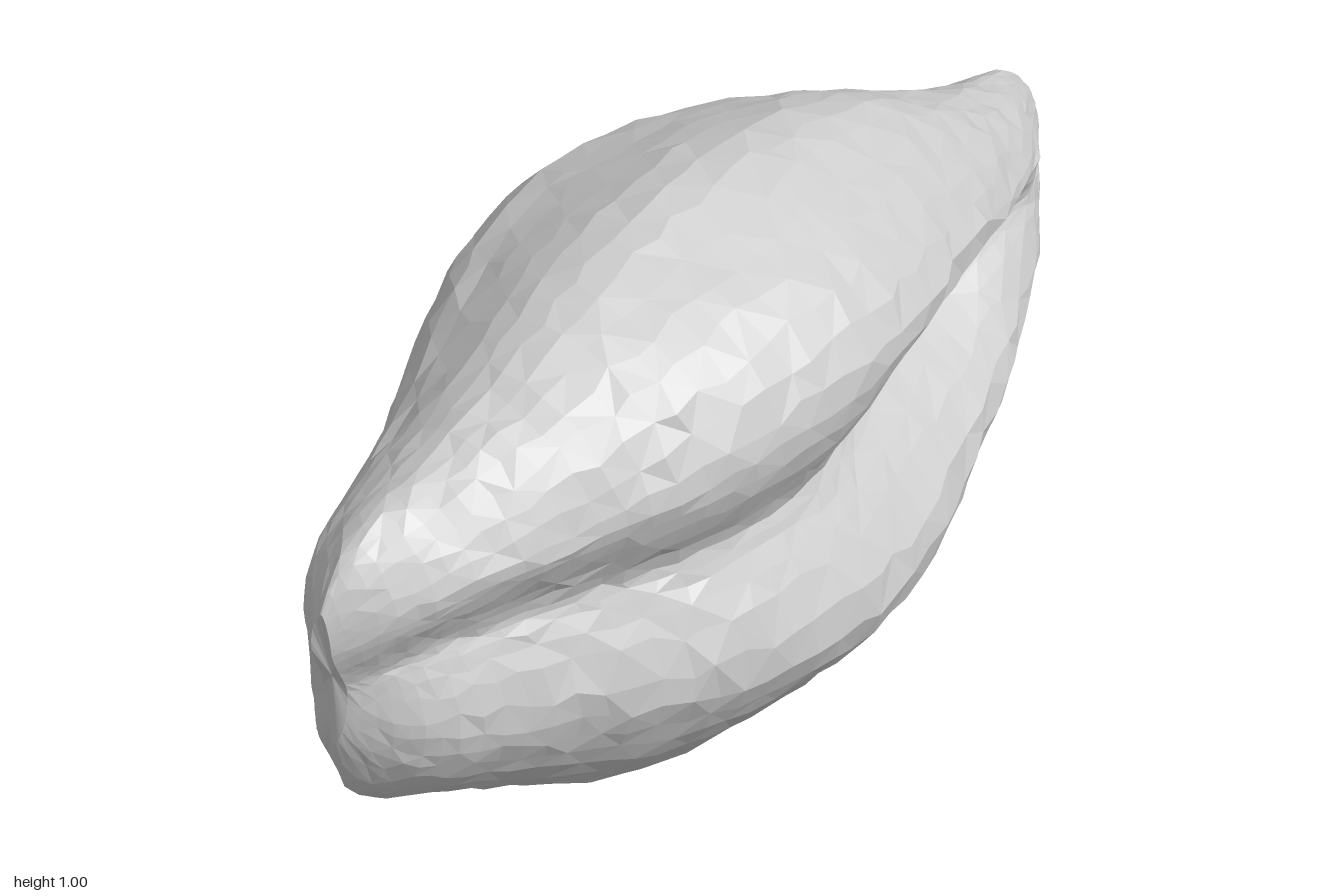
import * as THREE from 'three';

// Stations along the seed: x, bottom y, top y, front z, back z, furrow depth, furrow height (0..1)
const STATIONS = [
  [-1.0, 0.4, 0.685, 0.02, -0.025, 0.0, 0.5],
  [-0.97, 0.325, 0.73, 0.045, -0.055, 0.1, 0.52],
  [-0.93, 0.27, 0.765, 0.08, -0.095, 0.16, 0.55],
  [-0.86, 0.23, 0.8, 0.125, -0.14, 0.18, 0.56],
  [-0.75, 0.185, 0.835, 0.18, -0.175, 0.17, 0.57],
  [-0.6, 0.12, 0.885, 0.25, -0.215, 0.15, 0.57],
  [-0.4, 0.04, 0.955, 0.34, -0.3, 0.13, 0.55],
  [-0.2, 0.01, 0.985, 0.39, -0.38, 0.12, 0.54],
  [0.0, 0.0, 0.993, 0.405, -0.41, 0.15, 0.53],
  [0.2, 0.02, 0.97, 0.37, -0.38, 0.23, 0.53],
  [0.4, 0.095, 0.915, 0.305, -0.305, 0.29, 0.53],
  [0.5, 0.145, 0.865, 0.27, -0.255, 0.3, 0.54],
  [0.6, 0.2, 0.81, 0.23, -0.185, 0.27, 0.56],
  [0.7, 0.26, 0.755, 0.18, -0.155, 0.18, 0.58],
  [0.8, 0.325, 0.7, 0.125, -0.13, 0.06, 0.58],
  [0.9, 0.385, 0.655, 0.045, -0.108, 0.0, 0.55],
  [0.96, 0.425, 0.61, 0.0, -0.092, 0.0, 0.52],
  [1.0, 0.475, 0.56, -0.04, -0.075, 0.0, 0.5],
];

// Smooth value of every column at a given x
function stationAt(x) {
  let i = 0;
  while (i < STATIONS.length - 2 && x > STATIONS[i + 1][0]) i++;
  const at = (k) => STATIONS[Math.min(Math.max(k, 0), STATIONS.length - 1)];
  const [p, a, b, n] = [at(i - 1), at(i), at(i + 1), at(i + 2)];
  const h = b[0] - a[0];
  const t = (x - a[0]) / h;
  return a.map((v, k) => {
    const m0 = ((b[k] - p[k]) / (b[0] - p[0])) * h;
    const m1 = ((n[k] - a[k]) / (n[0] - a[0])) * h;
    const t2 = t * t, t3 = t2 * t;
    return (2 * t3 - 3 * t2 + 1) * v + (t3 - 2 * t2 + t) * m0 + (3 * t2 - 2 * t3) * b[k] + (t3 - t2) * m1;
  });
}

// Cross-section, points as (depth 0 back..1 front, height 0..1), from the furrow up and round
function section(d, vc) {
  const pts = [
    [1 - d, vc], [1 - d * 0.75, vc + 0.06], [1 - d * 0.35, vc + 0.14], [0.965, 0.76], [0.9, 0.85],
    [0.78, 0.93], [0.64, 0.98], [0.5, 1], [0.36, 0.965], [0.22, 0.905], [0.12, 0.855], [0.055, 0.76],
    [0.02, 0.63], [0, 0.5], [0.04, 0.33], [0.08, 0.2], [0.13, 0.145], [0.27, 0.09], [0.45, 0],
    [0.6, 0.015], [0.75, 0.06], [0.88, 0.14], [0.96, 0.22], [1, 0.32],
    [1 - d * 0.45, (vc + 0.32) / 2 + 0.01], [1 - d * 0.85, vc - 0.04],
  ];
  return new THREE.CatmullRomCurve3(pts.map(([w, v]) => new THREE.Vector3(0, v, w)), true, 'centripetal');
}

function seeded(seed) {
  return () => {
    seed = (seed * 16807) % 2147483647;
    return seed / 2147483647 - 0.5;
  };
}

const bump = (t, width) => Math.exp(-((t / width) ** 2));

// The blunt end is notched: below the upper lobe it is set back a little
function notch(x, y) {
  const fade = 1 - THREE.MathUtils.smoothstep(x, -1, -0.8);
  return fade * (0.035 * (1 - THREE.MathUtils.smoothstep(y, 0.5, 0.62)) + 0.01 * bump(y - 0.5, 0.08));
}

// A fold across the back sets the knob at the narrow end off from the body
function neck(x, y, backness) {
  return 0.045 * bump(x - 0.71, 0.07) * bump(y - 0.52, 0.2) * backness;
}

function seedGeometry(rings = 48, sides = 48) {
  const rand = seeded(4711);
  const pos = [], index = [];
  const addPoint = (x, y, z) => pos.push(x + notch(x, y), y, z);
  for (let i = 0; i <= rings; i++) {
    const s = (i / rings) * 2 - 1;
    const x0 = 0.45 * s + 0.55 * Math.sin((s * Math.PI) / 2); // closer rings at the tips
    const inner = i > 0 && i < rings ? 1 : 0;
    const [, bottom, top, front, back, depth, height] = stationAt(x0);
    const curve = section(depth, height);
    for (let j = 0; j < sides; j++) {
      const p = curve.getPoint((j + rand() * 0.4 * inner) / sides);
      // wrinkles running along the length, plus a fine roughness
      const wrinkle = 1 + 0.008 * Math.sin(j * 1.1 + x0 * 5) + 0.012 * rand();
      const x = x0 + inner * rand() * 0.022 * (1 - s * s);
      const y = bottom + (top - bottom) * (0.5 + (p.y - 0.5) * wrinkle);
      const w = 0.5 + (p.z - 0.5) * wrinkle;
      addPoint(x, y, back + (front - back) * w + neck(x, y, Math.max(0, 1 - w * 1.6)));
    }
  }
  for (let i = 0; i < rings; i++) {
    for (let j = 0; j < sides; j++) {
      const a = i * sides + j, b = i * sides + ((j + 1) % sides);
      const c = a + sides, d = b + sides;
      if ((i + j) % 2) index.push(a, c, b, b, c, d);
      else index.push(a, d, b, a, c, d);
    }
  }
  // close both tips
  [0, rings].forEach((ring) => {
    const m = stationAt(ring ? 1 : -1);
    const centre = pos.length / 3;
    addPoint(m[0], (m[1] + m[2]) / 2, (m[3] + m[4]) / 2);
    for (let j = 0; j < sides; j++) {
      const a = ring * sides + j, b = ring * sides + ((j + 1) % sides);
      if (ring) index.push(centre, b, a);
      else index.push(centre, a, b);
    }
  });
  const geo = new THREE.BufferGeometry();
  geo.setAttribute('position', new THREE.Float32BufferAttribute(pos, 3));
  geo.setIndex(index);
  geo.computeVertexNormals();
  return geo;
}

export function createModel() {
  const group = new THREE.Group();
  group.name = 'furrowedSeed';
  const material = new THREE.MeshStandardMaterial({ color: 0xcccccc, flatShading: true });
  const seed = new THREE.Mesh(seedGeometry(), material);
  seed.name = 'seedBody';
  // rest the lowest point on the ground
  seed.geometry.computeBoundingBox();
  seed.position.y = -seed.geometry.boundingBox.min.y;
  group.add(seed);
  return group;
}
